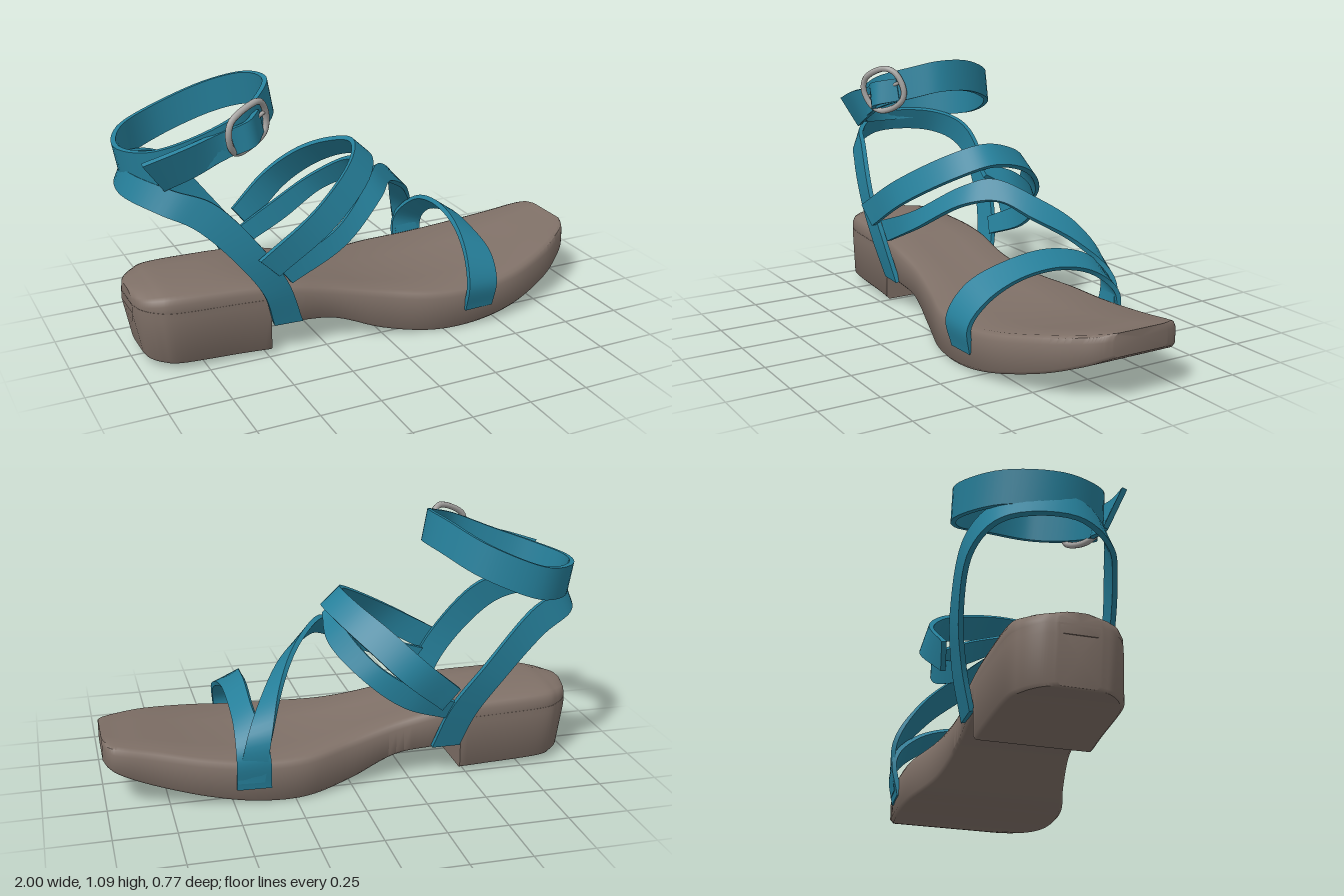
import * as THREE from 'three';
import { toCreasedNormals } from 'three/addons/utils/BufferGeometryUtils.js';

const V = (p) => new THREE.Vector3(p[0], p[1], p[2]);

// Skin a list of rings (clockwise about the direction of travel) and cap both ends.
function loft(rings, crease) {
  const n = rings[0].length, pos = [], idx = [];
  rings.forEach((r) => r.forEach((p) => pos.push(p.x, p.y, p.z)));
  for (let i = 0; i < rings.length - 1; i++) {
    for (let j = 0; j < n; j++) {
      const k = (j + 1) % n;
      const a = i * n + j, b = a + n, c = (i + 1) * n + k, d = i * n + k;
      idx.push(a, b, c, a, c, d);
    }
  }
  [0, rings.length - 1].forEach((i) => {
    const mid = new THREE.Vector3();
    rings[i].forEach((p) => mid.addScaledVector(p, 1 / n));
    const m = pos.length / 3;
    pos.push(mid.x, mid.y, mid.z);
    for (let j = 0; j < n; j++) {
      const a = i * n + j, b = i * n + (j + 1) % n;
      if (i === 0) idx.push(m, a, b); else idx.push(m, b, a);
    }
  });
  const g = new THREE.BufferGeometry();
  g.setAttribute('position', new THREE.Float32BufferAttribute(pos, 3));
  g.setIndex(idx);
  return toCreasedNormals(g, crease);
}

// Flat strap between two edge curves; each row is [x,y,z of edge A, x,y,z of edge B].
function strapGeometry(rows, closed = false, half = 0.01) {
  const A = new THREE.CatmullRomCurve3(rows.map((r) => V(r)), closed);
  const B = new THREE.CatmullRomCurve3(rows.map((r) => V(r.slice(3))), closed);
  const rings = [], steps = rows.length * 6;
  for (let i = 0; i <= steps; i++) {
    const t = i / steps, a = A.getPoint(t), b = B.getPoint(t);
    const tan = A.getTangent(t).add(B.getTangent(t));
    const n = tan.cross(b.clone().sub(a)).normalize().multiplyScalar(half);
    rings.push([a.clone().add(n), b.clone().add(n), b.clone().sub(n), a.clone().sub(n)]);
  }
  return loft(rings, 0.7);
}

// Strap rows from a centre line and a constant half-width vector.
const band = (pts, w) => pts.map(([x, y, z]) =>
  [x + w[0], y + w[1], z + w[2], x - w[0], y - w[1], z - w[2]]);

export function createModel() {
  const model = new THREE.Group();
  model.name = 'sandal';
  const mat = (name, color) => {
    const m = new THREE.MeshStandardMaterial({ color });
    m.name = name;
    return m;
  };
  const brown = mat('taupe sole', 0x7f7067);
  const teal = mat('teal leather', 0x26809b);
  const silver = mat('silver metal', 0xa8a6a4);
  const add = (name, geo, material, parent = model) => {
    const m = new THREE.Mesh(geo, material);
    m.name = name;
    parent.add(m);
    return m;
  };

  // Sole stations: x, back edge z, front edge z, top y, bottom y
  const stations = [
    [-1.0, -0.08, 0.07, 0.305, 0.22], [-0.98, -0.14, 0.125, 0.31, 0.22],
    [-0.93, -0.192, 0.172, 0.318, 0.21], [-0.85, -0.225, 0.20, 0.324, 0.20],
    [-0.6, -0.235, 0.215, 0.315, 0.16], [-0.4, -0.235, 0.23, 0.285, 0.125],
    [-0.2, -0.225, 0.235, 0.24, 0.10], [0, -0.26, 0.275, 0.20, 0.03],
    [0.2, -0.325, 0.335, 0.178, 0.003], [0.4, -0.332, 0.352, 0.178, 0.008],
    [0.6, -0.31, 0.33, 0.20, 0.04], [0.8, -0.27, 0.25, 0.235, 0.09],
    [0.93, -0.25, 0.16, 0.258, 0.14], [0.98, -0.225, 0.11, 0.268, 0.168],
    [1.0, -0.17, 0.07, 0.272, 0.18],
  ];
  const outline = new THREE.CatmullRomCurve3(
    stations.map((s) => V([s[0], s[1], s[2]])), false, 'catmullrom');
  const profile = new THREE.CatmullRomCurve3(
    stations.map((s) => V([s[0], s[3], s[4]])), false, 'catmullrom');

  // Sole with a softened rim, crowned at the heel and dished along the middle
  const soleRings = [];
  for (let i = 0; i <= 84; i++) {
    const o = outline.getPoint(i / 84), p = profile.getPoint(i / 84);
    const x = o.x, b = o.y, f = o.z, top = p.y, bot = p.z, w = f - b;
    const dish = 0.012 * Math.max(0, 1 - ((x - 0.1) / 0.75) ** 2);
    const rim = top - 0.014 * THREE.MathUtils.smoothstep(-x, 0.35, 0.7);
    const lip = Math.min(0.03, w * 0.08);
    const P = (y, z) => new THREE.Vector3(x, y, z);
    soleRings.push([
      P(bot, f - 0.012), P(bot + 0.012, f), P(rim - 0.03, f), P(rim - 0.008, f - lip * 0.35),
      P(rim, f - lip), P(top - dish, f - w * 0.3), P(top - dish, (f + b) / 2),
      P(top - dish, b + w * 0.3), P(rim, b + lip), P(rim - 0.008, b + lip * 0.35),
      P(rim - 0.03, b), P(bot + 0.012, b), P(bot, b + 0.012),
    ]);
  }
  add('sole', loft(soleRings, 0.8), brown);

  // Heel block wraps the sole outline and tapers at the back
  const heelRings = [];
  for (let i = 0; i <= 28; i++) {
    const k = i / 28, o = outline.getPoint(k * 4.6 / 14);
    const f = o.z + 0.001, b = o.y - 0.001, bot = 0.04 - 0.025 * k;
    const P = (y, z) => new THREE.Vector3(
      o.x - 0.001 + (1 - k) * 0.035 * Math.max(0, 0.22 - y) / 0.18, y, z);
    const top = 0.26 - 0.02 * k;
    heelRings.push([P(bot, f - 0.012), P(bot + 0.012, f), P(0.22, f), P(top, f),
      P(top, b), P(0.22, b), P(bot + 0.012, b), P(bot, b + 0.012)]);
  }
  add('heelBlock', loft(heelRings, 0.8), brown);

  // Strap across the toes
  add('toeStrap', strapGeometry([
    [0.34, 0.08, 0.35, 0.47, 0.08, 0.345], [0.34, 0.20, 0.375, 0.48, 0.19, 0.36],
    [0.36, 0.32, 0.30, 0.49, 0.28, 0.29], [0.39, 0.395, 0.14, 0.48, 0.345, 0.13],
    [0.40, 0.418, -0.05, 0.48, 0.36, -0.06], [0.40, 0.365, -0.24, 0.48, 0.31, -0.23],
    [0.36, 0.24, -0.352, 0.49, 0.21, -0.335], [0.35, 0.07, -0.33, 0.49, 0.07, -0.323],
  ]), teal);

  // Diagonal strap from the inner toe side up over the instep
  add('diagonalStrap', strapGeometry([
    [-0.46, 0.39, 0.25, -0.40, 0.31, 0.25], [-0.20, 0.485, 0.22, -0.16, 0.42, 0.235],
    [0.0, 0.615, 0.10, 0.05, 0.55, 0.13], [0.08, 0.65, 0.01, 0.14, 0.57, 0.02],
    [0.20, 0.58, -0.12, 0.25, 0.51, -0.07], [0.29, 0.47, -0.26, 0.36, 0.41, -0.22],
    [0.35, 0.30, -0.358, 0.45, 0.27, -0.335], [0.38, 0.10, -0.338, 0.49, 0.10, -0.33],
  ]), teal);

  // Upper instep arch
  add('instepArch', strapGeometry([
    [-0.55, 0.45, 0.30, -0.47, 0.37, 0.29], [-0.30, 0.60, 0.26, -0.22, 0.52, 0.265],
    [-0.08, 0.735, 0.12, 0.0, 0.655, 0.13], [-0.02, 0.775, 0.0, 0.06, 0.70, 0.0],
    [-0.06, 0.74, -0.15, 0.02, 0.665, -0.17], [-0.15, 0.67, -0.275, -0.07, 0.585, -0.30],
    [-0.27, 0.56, -0.355, -0.18, 0.48, -0.37], [-0.43, 0.42, -0.34, -0.36, 0.33, -0.325],
  ]), teal);

  // Second layer of the arch on the inner side
  add('innerInstepStrap', strapGeometry([
    [0.0, 0.70, 0.03, 0.05, 0.66, 0.03], [0.0, 0.65, -0.13, 0.06, 0.58, -0.12],
    [-0.10, 0.53, -0.29, -0.04, 0.47, -0.28], [-0.25, 0.43, -0.32, -0.20, 0.35, -0.31],
    [-0.44, 0.34, -0.29, -0.40, 0.27, -0.275],
  ]), teal);

  // Strap rising from both sides of the sole and passing behind the heel
  add('heelStrap', strapGeometry([
    [-0.35, 0.13, 0.235, -0.47, 0.13, 0.228], [-0.42, 0.32, 0.265, -0.52, 0.28, 0.26],
    [-0.52, 0.48, 0.27, -0.63, 0.44, 0.26], [-0.70, 0.685, 0.22, -0.78, 0.595, 0.22],
    [-0.84, 0.74, 0.16, -0.89, 0.65, 0.165], [-0.96, 0.785, 0, -0.988, 0.69, 0],
    [-0.88, 0.78, -0.24, -0.93, 0.68, -0.25], [-0.72, 0.72, -0.33, -0.78, 0.62, -0.33],
    [-0.53, 0.50, -0.335, -0.62, 0.44, -0.325], [-0.41, 0.32, -0.295, -0.52, 0.28, -0.285],
    [-0.35, 0.13, -0.24, -0.47, 0.13, -0.24],
  ]), teal);

  // Tilted loop around the ankle
  add('ankleStrap', strapGeometry(band([
    [-0.975, 0.805, -0.05], [-0.91, 0.82, -0.25], [-0.75, 0.85, -0.365], [-0.53, 0.94, -0.32],
    [-0.41, 1.01, -0.15], [-0.385, 1.02, 0.0], [-0.44, 0.995, 0.095], [-0.56, 0.95, 0.19],
    [-0.73, 0.88, 0.185], [-0.89, 0.825, 0.12],
  ], [-0.012, 0.066, 0]), true), teal);

  // Loose tail, bulging through the buckle and twisting at its end
  add('strapTail', strapGeometry([
    [-0.49, 1.01, 0.155, -0.47, 0.915, 0.15], [-0.56, 0.99, 0.225, -0.54, 0.89, 0.235],
    [-0.66, 0.955, 0.205, -0.63, 0.85, 0.195], [-0.80, 0.92, 0.22, -0.76, 0.79, 0.18],
    [-0.96, 0.87, 0.20, -0.87, 0.745, 0.155],
  ]), teal);

  // Buckle frame and prong
  const buckle = new THREE.Group();
  buckle.name = 'buckle';
  buckle.position.set(-0.545, 0.958, 0.186);
  buckle.rotation.set(0.2, 0.42, 0.33);
  model.add(buckle);
  const frame = new THREE.CatmullRomCurve3([
    [0.1, 0.04, 0], [0.065, 0.08, 0.008], [-0.065, 0.08, 0.008], [-0.1, 0.04, 0.015],
    [-0.1, -0.04, 0.015], [-0.065, -0.08, 0.008], [0.065, -0.08, 0.008], [0.1, -0.04, 0],
  ].map(V), true);
  add('buckleFrame', new THREE.TubeGeometry(frame, 48, 0.013, 8, true), silver, buckle);
  const prong = add('buckleProng', new THREE.CylinderGeometry(0.008, 0.008, 0.2, 8), silver, buckle);
  prong.rotation.z = Math.PI / 2;

  return model;
}
